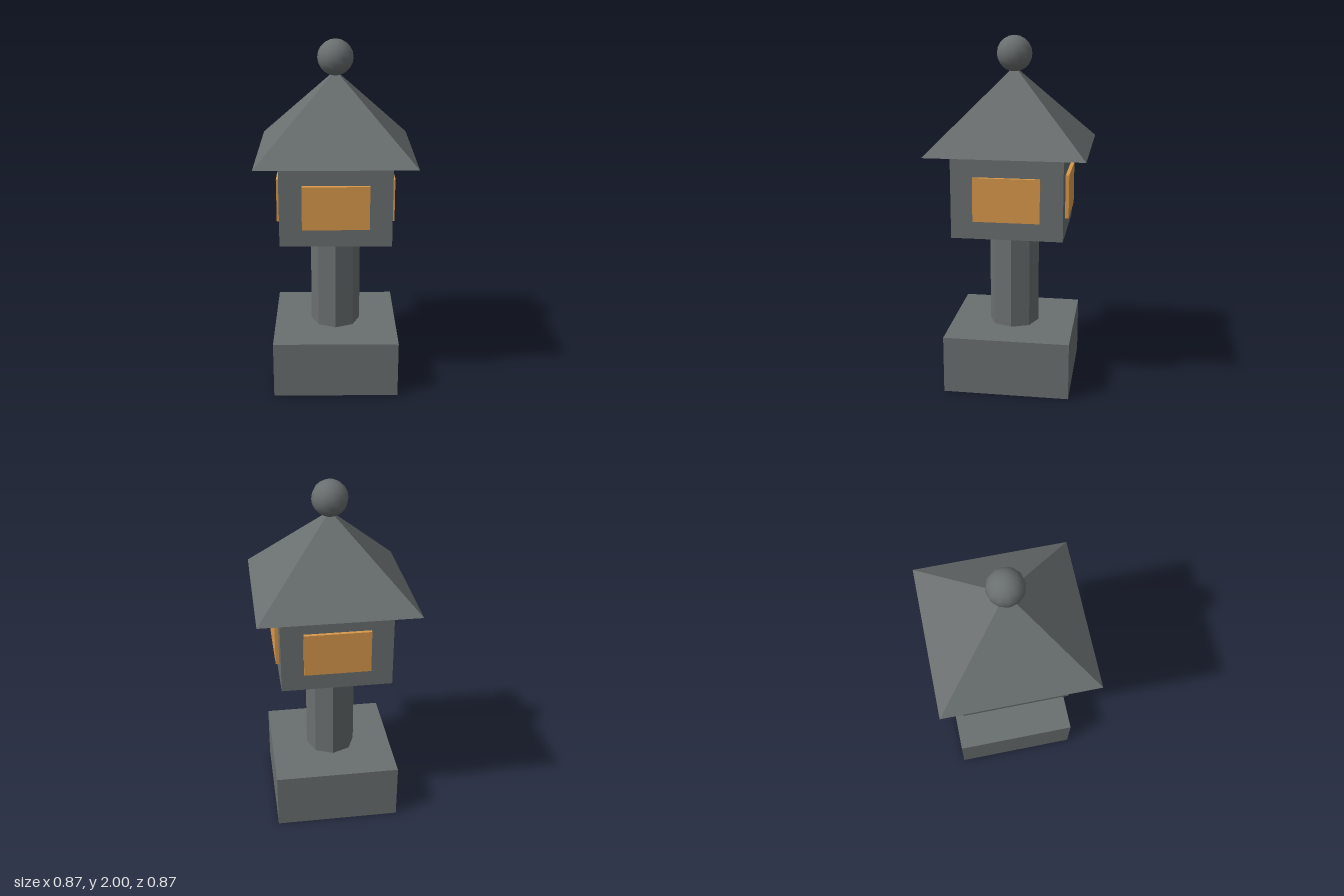
import * as THREE from 'three';

export function createModel() {
  const model = new THREE.Group();
  model.name = 'stoneLantern';

  const stone = new THREE.MeshStandardMaterial({ color: 0x6a6f6f });
  stone.name = 'stone';
  const glow = new THREE.MeshStandardMaterial({ color: 0xd9994b });
  glow.name = 'amberWindow';
  const flatStone = stone.clone();
  flatStone.name = 'stoneFaceted';
  flatStone.flatShading = true;

  const add = (name, geometry, material, y, parent = model) => {
    const mesh = new THREE.Mesh(geometry, material);
    mesh.name = name;
    mesh.position.y = y;
    parent.add(mesh);
    return mesh;
  };

  // Square plinth and octagonal post
  add('base', new THREE.BoxGeometry(0.715, 0.33, 0.715), flatStone, 0.165);
  add('post', new THREE.CylinderGeometry(0.144, 0.144, 0.58, 8), flatStone, 0.62);

  // Lamp house with one raised window per side
  add('lampHouse', new THREE.BoxGeometry(0.62, 0.45, 0.62), flatStone, 1.135);
  const windows = new THREE.Group();
  windows.name = 'windows';
  model.add(windows);
  for (let i = 0; i < 4; i++) {
    const geometry = new THREE.BoxGeometry(0.37, 0.245, 0.04)
      .translate(0, 0, 0.31)
      .rotateY(i * Math.PI / 2);
    add('window', geometry, glow, 1.135, windows);
  }

  // Pyramid roof floating just above the lamp house
  const roof = new THREE.ConeGeometry(0.436 * Math.SQRT2, 0.45, 4).rotateY(Math.PI / 4);
  add('roof', roof, flatStone, 1.605);

  // Ball finial
  add('finial', new THREE.SphereGeometry(0.1, 12, 10), stone, 1.9);

  return model;
}
